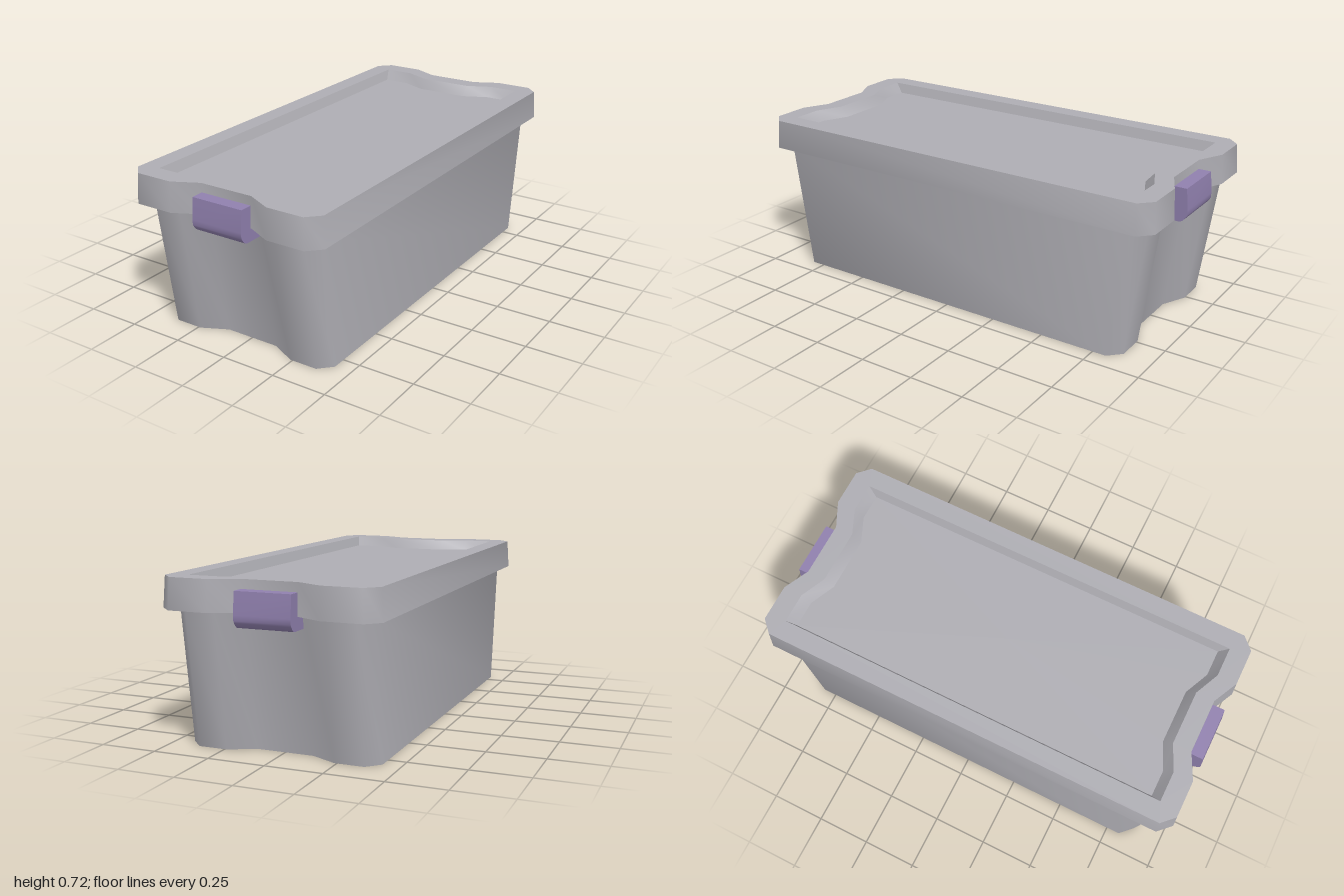
import * as THREE from 'three';
import { toCreasedNormals } from 'three/addons/utils/BufferGeometryUtils.js';

// Closed loop at height y: chamfered rectangle with a shallow notch in each end.
function outline(y, halfWidth, halfLength, chamfer, notchDepth, notchOuter = 0.24, notchInner = 0.125) {
  const quarter = [
    [halfWidth, halfLength - chamfer],
    [halfWidth - chamfer, halfLength],
    [notchOuter, halfLength],
    [notchInner, halfLength - notchDepth],
  ];
  const mirrored = [...quarter].reverse();
  return [
    ...quarter.map(([x, z]) => new THREE.Vector3(x, y, z)),
    ...mirrored.map(([x, z]) => new THREE.Vector3(-x, y, z)),
    ...quarter.map(([x, z]) => new THREE.Vector3(-x, y, -z)),
    ...mirrored.map(([x, z]) => new THREE.Vector3(x, y, -z)),
  ];
}

// All points gathered at the centre, used to close a loop with a flat cap.
const centre = (y) => Array.from({ length: 16 }, () => new THREE.Vector3(0, y, 0));

// Band of faces between two loops, smooth across the soft corners.
function band(a, b) {
  const points = [];
  const tri = new THREE.Triangle();
  const add = (p, q, r) => {
    if (tri.set(p, q, r).getArea() > 1e-7) points.push(p, q, r);
  };
  for (let i = 0; i < a.length; i++) {
    const j = (i + 1) % a.length;
    add(a[i], b[j], a[j]);
    add(a[i], b[i], b[j]);
  }
  const geometry = new THREE.BufferGeometry().setFromPoints(points);
  return toCreasedNormals(geometry, 0.9);
}

// Group of bands joining each loop to the next.
function shell(name, loops, bandNames, material) {
  const group = new THREE.Group();
  group.name = name;
  bandNames.forEach((bandName, i) => {
    const mesh = new THREE.Mesh(band(loops[i], loops[i + 1]), material);
    mesh.name = bandName;
    group.add(mesh);
  });
  return group;
}

// Clip: hooked side profile (z, y) pushed along x.
function clipGeometry() {
  const width = 0.244;
  const s = new THREE.Shape();
  s.moveTo(0.92, 0.678);
  s.lineTo(0.92, 0.585);
  s.lineTo(0.87, 0.585);
  s.lineTo(0.87, 0.53);
  s.lineTo(0.965, 0.53);
  s.quadraticCurveTo(0.982, 0.532, 0.998, 0.562);
  s.lineTo(0.999, 0.585);
  s.lineTo(0.99, 0.678);
  s.closePath();
  const g = new THREE.ExtrudeGeometry(s, { depth: width, bevelEnabled: false, curveSegments: 6 });
  g.rotateY(-Math.PI / 2);
  g.translate(width / 2, 0, 0);
  return toCreasedNormals(g, 0.6);
}

export function createModel() {
  const grey = new THREE.MeshStandardMaterial({ color: 0xaeadb3 });
  grey.name = 'grey plastic';
  const purple = new THREE.MeshStandardMaterial({ color: 0x9080ae });
  purple.name = 'purple plastic';

  const model = new THREE.Group();
  model.name = 'storageBox';

  // Tub, tapering towards the base at both ends
  const rim = outline(0.585, 0.422, 0.947, 0.055, 0.055);
  model.add(shell('tub', [
    centre(0),
    outline(0, 0.422, 0.867, 0.055, 0.055),
    rim,
  ], ['tubBase', 'tubWall'], grey));

  // Lid with an overhanging skirt and a sunken panel
  model.add(shell('lid', [
    rim,
    outline(0.585, 0.471, 0.996, 0.056, 0.056),
    outline(0.717, 0.463, 0.988, 0.054, 0.056),
    outline(0.717, 0.377, 0.9, 0, 0.052),
    outline(0.672, 0.361, 0.86, 0, 0.052),
    centre(0.672),
  ], ['lidUnderside', 'lidSkirt', 'lidTopRim', 'recessWall', 'recessFloor'], grey));

  // Clips at both ends
  const clip = clipGeometry();
  ['frontClip', 'backClip'].forEach((name, i) => {
    const mesh = new THREE.Mesh(clip, purple);
    mesh.name = name;
    mesh.rotation.y = i * Math.PI;
    model.add(mesh);
  });

  return model;
}
